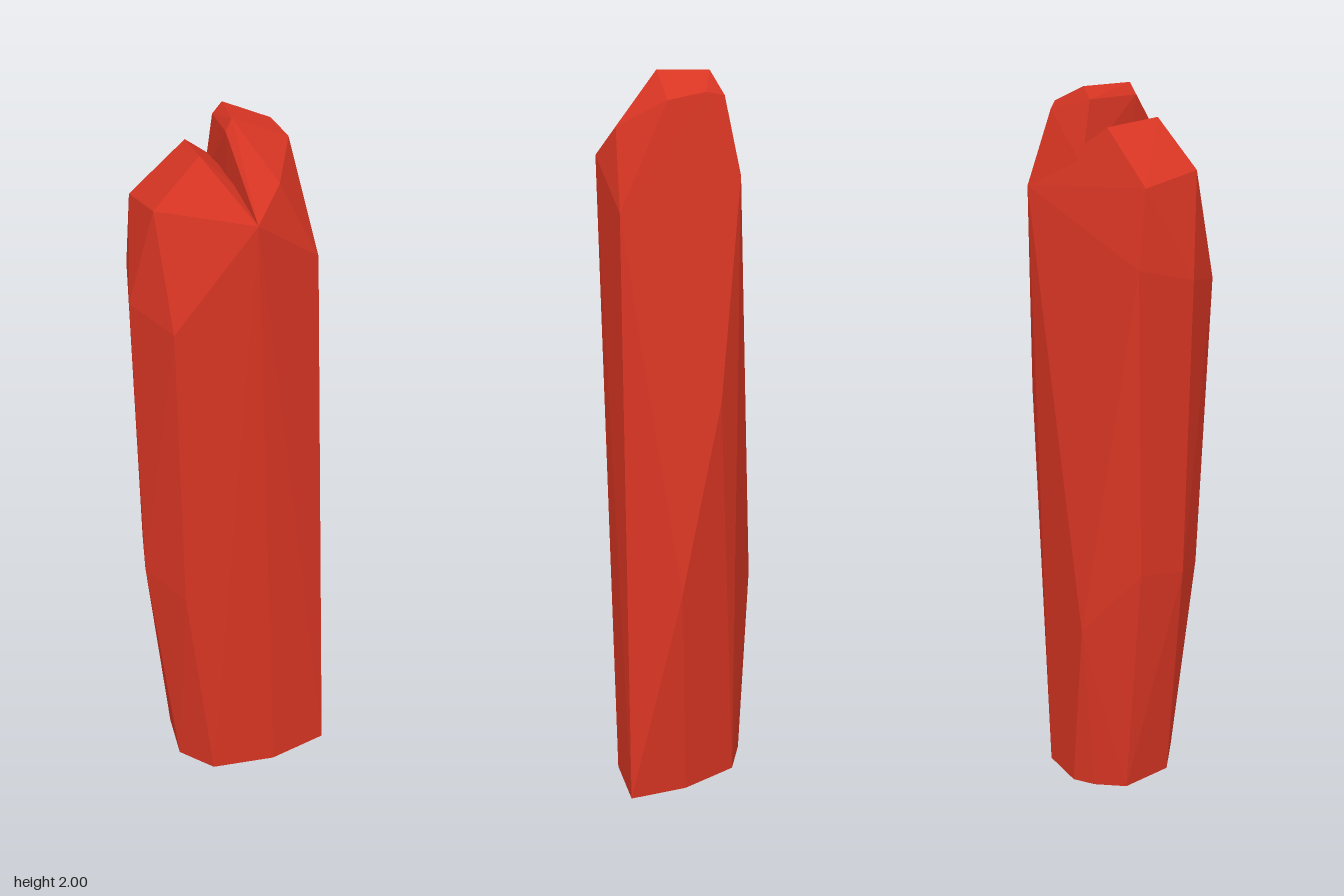
import * as THREE from 'three';
import { ConvexGeometry } from 'three/addons/geometries/ConvexGeometry.js';

export function createModel() {
  const model = new THREE.Group();
  const red = new THREE.MeshStandardMaterial({ color: 0xd83523 });
  red.name = 'crystal red';

  // A faceted piece is the convex hull of its corner points
  const crystal = (name, corners) => {
    const geometry = new ConvexGeometry(corners.map((c) => new THREE.Vector3(...c)));
    const mesh = new THREE.Mesh(geometry, red);
    mesh.name = name;
    model.add(mesh);
  };

  // Foot outline on the ground, as x, z
  const foot = [
    [0.28, 0.03], [0.12, 0.125], [-0.065, 0.16], [-0.17, 0.09],
    [-0.2, -0.06], [-0.15, -0.14], [-0.1, -0.185], [0.03, -0.2], [0.18, -0.1],
  ].map(([x, z]) => [x, 0, z]);

  // Corners where the long side facets bend
  const waist = [
    [-0.265, 0.72, -0.05], [-0.18, 0.54, -0.19], [-0.255, 0.7, 0.085],
    [-0.14, 0.66, 0.19], [0.23, 0.62, -0.105], [0.145, 1.15, -0.187],
  ];

  // Corners where the sides turn into the tips
  const shoulder = [
    [-0.155, 1.5, 0.213], [-0.27, 1.535, 0.092], [-0.28, 1.58, -0.07],
    [0.08, 1.74, -0.215], [0.215, 1.65, 0.07],
  ];

  // Ends of the cleft between the two tips
  const cleft = [[0.055, 1.78, 0.192], [-0.07, 1.81, -0.127]];

  // Main shaft with the lower tip
  crystal('shaftWithLowerTip', [
    ...foot, ...waist, ...shoulder, ...cleft,
    [-0.2, 1.8, 0.133], [-0.085, 1.92, 0.08], [-0.12, 1.91, -0.08],
    [-0.265, 1.78, -0.045],
  ]);

  // Higher tip, rooted inside the shaft
  crystal('upperTip', [
    ...cleft, shoulder[3], shoulder[4], [0, 1.2, 0],
    [-0.05, 1.97, -0.095], [-0.025, 2, -0.1], [-0.005, 2, 0.04],
    [-0.02, 1.97, 0.05], [0.14, 1.93, -0.035], [0.1, 1.95, -0.125],
    [0.045, 1.94, -0.16], [0.11, 1.86, 0.115],
  ]);

  return model;
}
